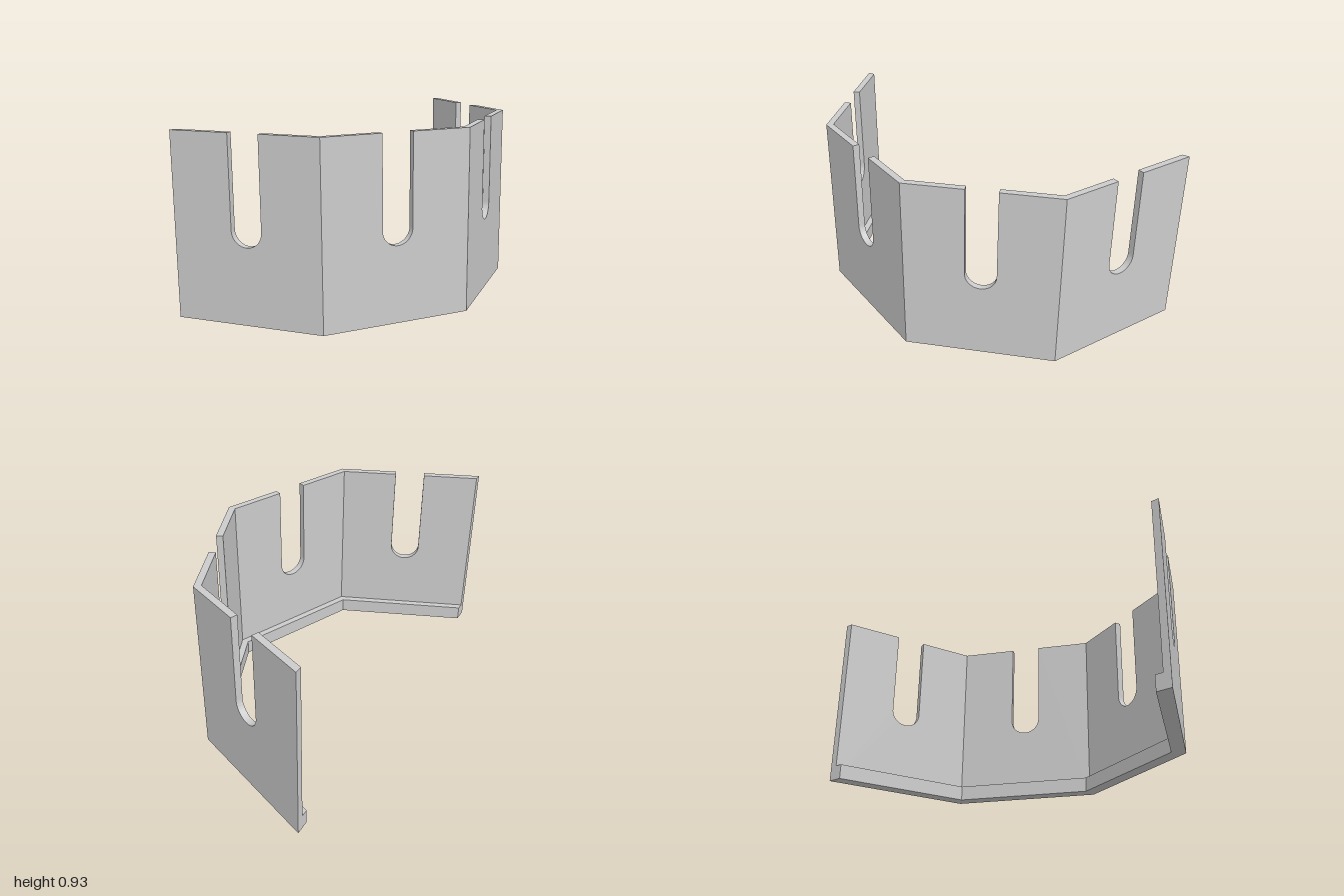
import * as THREE from 'three';
import { toCreasedNormals } from 'three/addons/utils/BufferGeometryUtils.js';

const STEP = Math.PI / 4;                // half an octagon of radius 1
const HALF = Math.sin(STEP / 2);         // half width of a panel
const APOTHEM = Math.cos(STEP / 2);
const HEIGHT = 0.925;
const WALL = 0.9625;                     // inner wall radius
const LEDGE = 0.925;                     // inner ledge radius
const LEDGE_HEIGHT = 0.077;
const SLOT = 0.0785;                     // slot half width
const SLOT_CENTRE = 0.465;
const BACK = -0.5;                       // centre of the octagon in z

// Wall panel with a round-bottomed slot open at the top and mitred ends
function panelGeometry() {
  const s = new THREE.Shape();
  s.moveTo(-HALF, 0);
  s.lineTo(HALF, 0);
  s.lineTo(HALF, HEIGHT);
  s.lineTo(SLOT, HEIGHT);
  s.lineTo(SLOT, SLOT_CENTRE);
  s.absarc(0, SLOT_CENTRE, SLOT, 0, -Math.PI, true);
  s.lineTo(-SLOT, HEIGHT);
  s.lineTo(-HALF, HEIGHT);
  s.closePath();
  const depth = APOTHEM * (1 - WALL);
  const geo = new THREE.ExtrudeGeometry(s, { depth, bevelEnabled: false, curveSegments: 24 });
  geo.translate(0, 0, APOTHEM - depth);
  // Pull the inner end corners in along the mitre
  const p = geo.attributes.position;
  for (let i = 0; i < p.count; i++) {
    if (Math.abs(p.getX(i)) > HALF - 0.001) p.setX(i, Math.sign(p.getX(i)) * HALF * p.getZ(i) / APOTHEM);
  }
  return toCreasedNormals(geo, 0.5);
}

// Low ledge along the inside foot of the wall
function ledgeGeometry() {
  const arc = (r) => Array.from({ length: 5 }, (_, i) =>
    new THREE.Vector2(r * Math.cos(i * STEP), r * Math.sin(i * STEP)));
  const shape = new THREE.Shape([...arc(WALL), ...arc(LEDGE).reverse()]);
  const geo = new THREE.ExtrudeGeometry(shape, { depth: LEDGE_HEIGHT, bevelEnabled: false });
  geo.rotateX(Math.PI / 2);
  geo.translate(0, LEDGE_HEIGHT, BACK);
  return geo;
}

export function createModel() {
  const group = new THREE.Group();
  group.name = 'slottedScreen';
  const material = new THREE.MeshStandardMaterial({ color: 0xcccccc });

  const panel = panelGeometry();
  for (let i = 0; i < 4; i++) {
    const mesh = new THREE.Mesh(panel, material);
    mesh.name = `wallPanel${i + 1}`;
    mesh.position.z = BACK;
    mesh.rotation.y = (i - 1.5) * STEP;
    group.add(mesh);
  }

  const ledge = new THREE.Mesh(ledgeGeometry(), material);
  ledge.name = 'ledge';
  group.add(ledge);
  return group;
}
